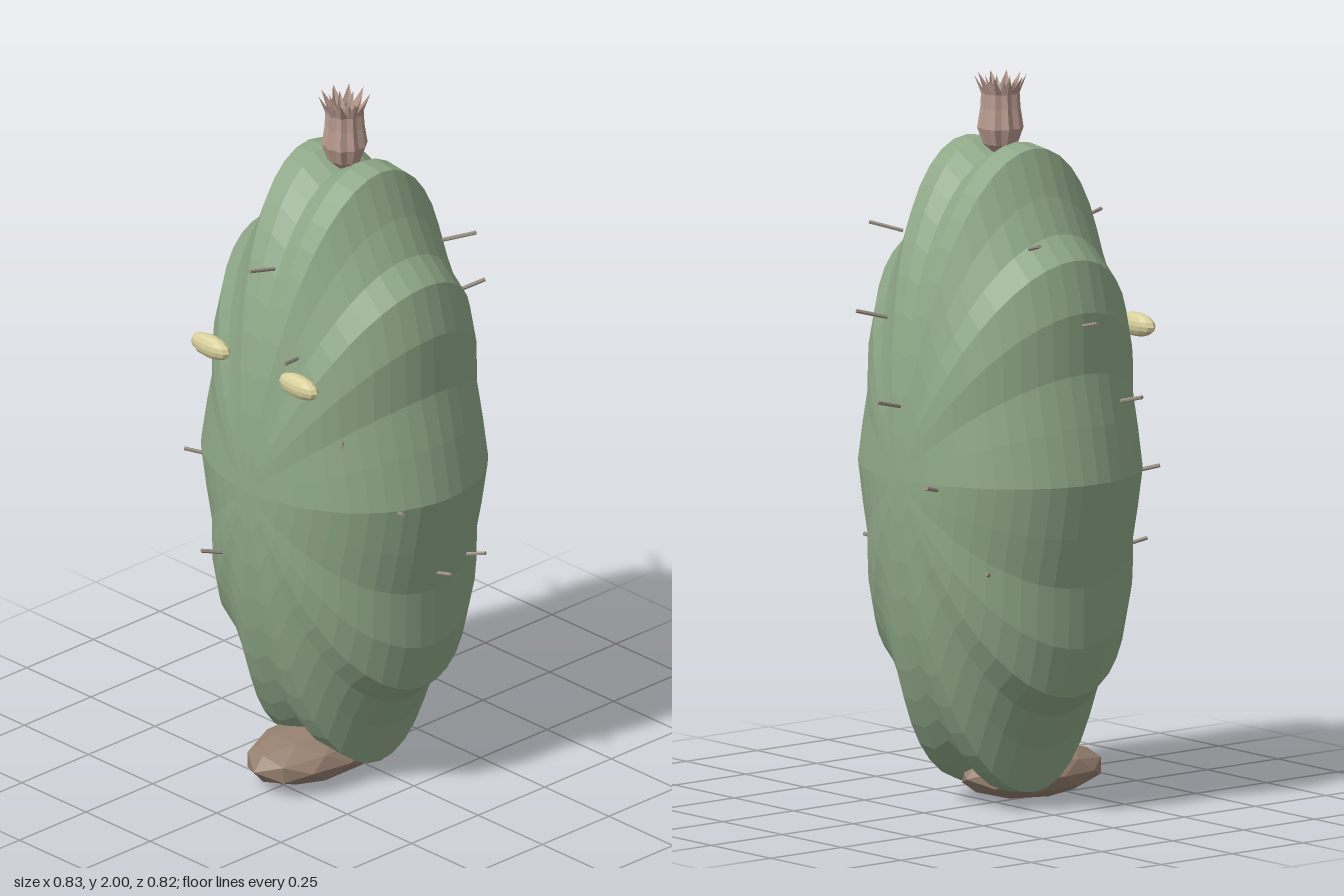
import * as THREE from 'three';

const mat = (color, extra = {}) => new THREE.MeshStandardMaterial({ color, flatShading: true, ...extra });

function add(parent, name, geometry, material, x = 0, y = 0, z = 0) {
  const mesh = new THREE.Mesh(geometry, material);
  mesh.name = name;
  mesh.position.set(x, y, z);
  parent.add(mesh);
  return mesh;
}

// Ellipsoid whose poles face front and back, with ten ribs running between them
function bodyGeometry() {
  const geo = new THREE.SphereGeometry(1, 36, 24).rotateX(Math.PI / 2);
  const p = geo.attributes.position;
  for (let i = 0; i < p.count; i++) {
    const x = p.getX(i), y = p.getY(i);
    const rib = 1 + 0.05 * Math.cos(10 * Math.atan2(y, x));
    p.setXYZ(i, x * 0.393 * rib, y * 0.9 * rib, p.getZ(i) * 0.365);
  }
  geo.computeVertexNormals();
  return geo;
}

// Pointed petal: bulges outward, narrows, then flares at the tip; folded along the middle
function petalGeometry(size, height) {
  const rows = [ // radius, height, half width
    [0.012, 0, 0.006], [0.045, 0.03, 0.014], [0.06, 0.075, 0.021],
    [0.052, 0.13, 0.02], [0.05, 0.17, 0.017], [0.068, 0.22, 0.0],
  ];
  const geo = new THREE.PlaneGeometry(2, 1, 2, rows.length - 1);
  const p = geo.attributes.position;
  for (let i = 0; i < p.count; i++) {
    const [r, y, w] = rows[rows.length - 1 - Math.floor(i / 3)];
    const side = p.getX(i);
    p.setXYZ(i, side * w * size, y * height, (r - Math.abs(side) * w * 0.6) * size);
  }
  geo.computeVertexNormals();
  return geo;
}

export function createModel() {
  const model = new THREE.Group();
  model.name = 'cactus';
  const cz = 0.02;

  add(model, 'body', bodyGeometry(), mat(0x8fa888), 0, 0.93, cz);

  // Single rounded foot poking out at the front
  const foot = add(model, 'foot', new THREE.IcosahedronGeometry(1, 1), mat(0x96806f), 0, 0.074, 0.13);
  foot.scale.set(0.14, 0.074, 0.23);

  // Eyes
  for (const s of [1, -1]) {
    const eye = add(model, s > 0 ? 'leftEye' : 'rightEye',
      new THREE.SphereGeometry(1, 12, 8), mat(0xd8cf9c), s * 0.172, 1.297, 0.357);
    eye.scale.set(0.073, 0.033, 0.027);
  }

  // Spines wind around the body, stepping down through five heights
  const spines = new THREE.Group();
  spines.name = 'spines';
  model.add(spines);
  const levels = [[0.31, 1.577], [0.362, 1.36], [0.387, 1.137], [0.387, 0.92], [0.37, 0.69]];
  const order = [0, 1, 2, 3, 4, 4, 0, 1, 2, 3, 4, 0, 1, 2, 3, 4];
  const spineGeo = new THREE.CylinderGeometry(0.0055, 0.0055, 0.095, 6);
  const spineMat = mat(0x989083);
  const up = new THREE.Vector3(0, 1, 0);
  order.forEach((level, i) => {
    const a = i * Math.PI / 8, [r, y] = levels[level];
    const spine = add(spines, 'spine', spineGeo, spineMat, Math.sin(a) * r, y, cz + Math.cos(a) * r);
    spine.quaternion.setFromUnitVectors(up, new THREE.Vector3(Math.sin(a), 0.25, Math.cos(a)).normalize());
  });

  // Flower on top: an outer and an inner ring of petals
  const flower = new THREE.Group();
  flower.name = 'flower';
  flower.position.set(0, 1.78, cz);
  model.add(flower);
  const petalMat = mat(0xb89a8e, { side: THREE.DoubleSide });
  for (const [count, size, height, turn] of [[10, 1.05, 1, 0], [8, 0.72, 0.96, 0.3]]) {
    const geo = petalGeometry(size, height);
    for (let i = 0; i < count; i++) {
      add(flower, 'petal', geo, petalMat).rotation.y = turn + i * 2 * Math.PI / count;
    }
  }
  return model;
}
